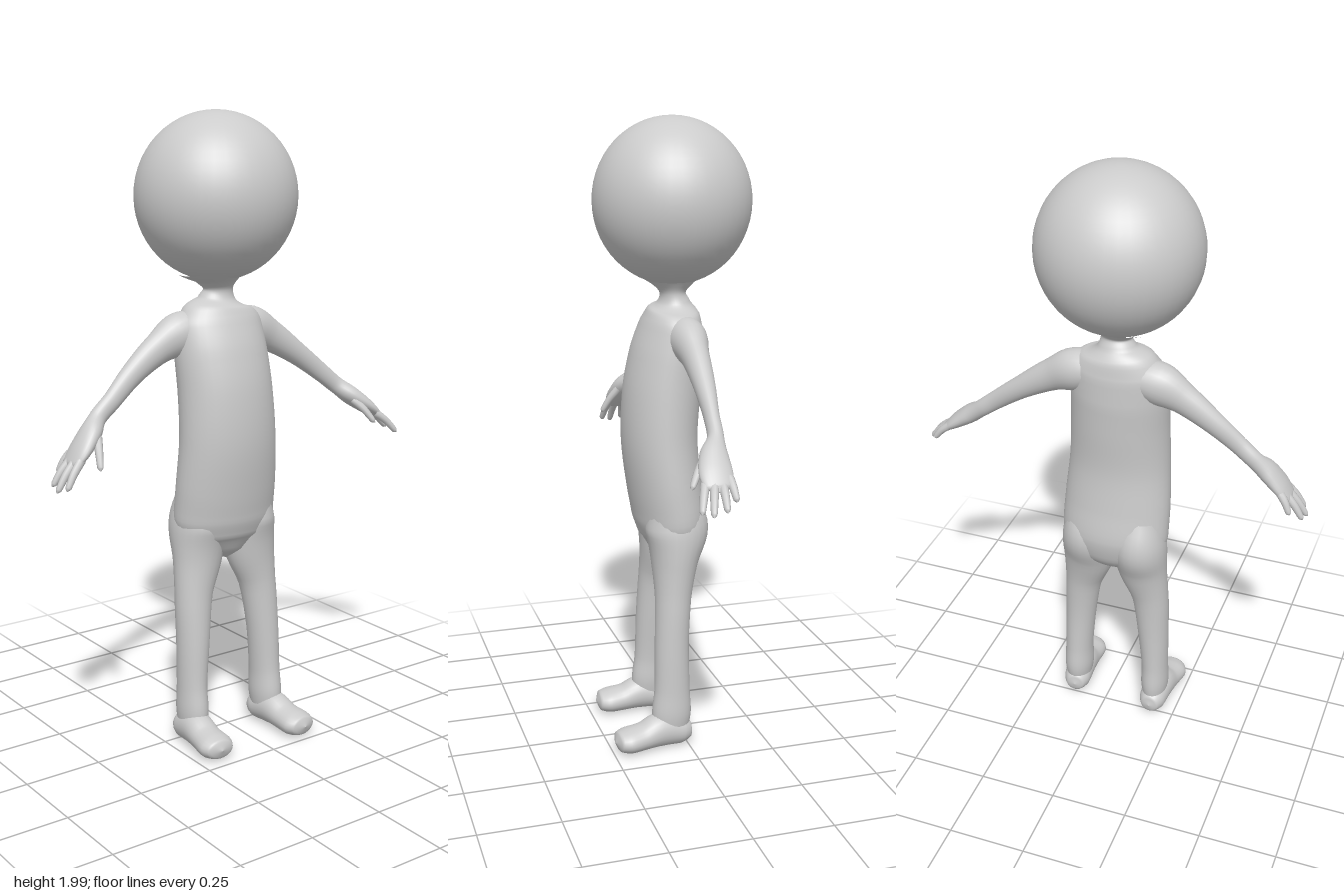
import * as THREE from 'three';

const material = new THREE.MeshStandardMaterial({ color: 0xcccccc });
const V = (x, y, z) => new THREE.Vector3(x, y, z);

// Smooth skin over elliptical sections [x, y, z, ra, rb]; rb lies along ref, ra across it.
function loft(name, sections, { ref = V(0, 0, 1), sides = 24, steps = 5 } = {}) {
  const path = new THREE.CatmullRomCurve3(sections.map(s => V(s[0], s[1], s[2])));
  const radii = new THREE.CatmullRomCurve3(sections.map(s => V(s[3], s[4], 0)));
  const rows = (sections.length - 1) * steps;
  const pos = [], index = [];
  for (let i = 0; i <= rows; i++) {
    const p = path.getPoint(i / rows), r = radii.getPoint(i / rows), t = path.getTangent(i / rows);
    const b = ref.clone().addScaledVector(t, -ref.dot(t)).normalize();
    const a = b.clone().cross(t);
    for (let j = 0; j < sides; j++) {
      const u = j / sides * Math.PI * 2;
      const q = p.clone()
        .addScaledVector(a, Math.cos(u) * Math.max(r.x, 0.001))
        .addScaledVector(b, Math.sin(u) * Math.max(r.y, 0.001));
      pos.push(q.x, q.y, q.z);
      if (i < rows) {
        const k = i * sides + j, n = i * sides + (j + 1) % sides;
        index.push(k, n, k + sides, n, n + sides, k + sides);
      }
    }
  }
  const g = new THREE.BufferGeometry();
  g.setAttribute('position', new THREE.Float32BufferAttribute(pos, 3));
  g.setIndex(index);
  g.computeVertexNormals();
  const mesh = new THREE.Mesh(g, material);
  mesh.name = name;
  return mesh;
}

// Tapered finger from base to tip with a slight knuckle bend
function finger(name, base, tip) {
  const at = (k, lift, r) => [...base.map((v, i) => v + (tip[i] - v) * k + (i === 1 ? lift : 0)), r, r];
  return loft(name, [at(0, 0, 0.014), at(0.5, 0.006, 0.012), at(0.9, 0, 0.009), at(1, 0, 0.001)],
    { sides: 10, steps: 3 });
}

function arm(side, sections, bases, tips) {
  const g = new THREE.Group();
  g.name = side + 'Arm';
  g.add(loft(side + 'ArmAndPalm', sections));
  ['thumb', 'indexFinger', 'middleFinger', 'ringFinger'].forEach((n, i) =>
    g.add(finger(side + n[0].toUpperCase() + n.slice(1), bases[i], tips[i])));
  return g;
}

// Leg sections are [y, xMin, xMax, zBack, zFront]; the foot runs from heel to toe
function leg(side, rows, heelX, toeX, dz) {
  const g = new THREE.Group();
  g.name = side + 'Leg';
  g.add(loft(side + 'Limb', rows.map(([y, x0, x1, z0, z1]) =>
    [(x0 + x1) / 2, y, (z0 + z1) / 2 + dz, (x1 - x0) / 2, (z1 - z0) / 2])));
  const foot = [
    [-0.016, 0.05, 0.001, 0.001], [-0.008, 0.05, 0.03, 0.03], [0.02, 0.053, 0.045, 0.046],
    [0.09, 0.064, 0.05, 0.055], [0.15, 0.051, 0.052, 0.043], [0.2, 0.046, 0.058, 0.039],
    [0.232, 0.046, 0.045, 0.03], [0.245, 0.046, 0.001, 0.001],
  ];
  g.add(loft(side + 'Foot', foot.map(([z, y, rx, ry]) =>
    [heelX + (toeX - heelX) * z / 0.24, y, z + dz, rx, ry]), { ref: V(0, 1, 0) }));
  return g;
}

export function createModel() {
  const model = new THREE.Group();
  model.name = 'figure';

  // Head
  const head = new THREE.Mesh(new THREE.SphereGeometry(1, 40, 28), material);
  head.name = 'head';
  head.scale.set(0.253, 0.257, 0.247);
  head.position.set(-0.045, 1.743, 0);
  model.add(head);

  // Torso from the crotch to the flared neck
  model.add(loft('torso', [
    [-0.032, 0.6, 0.035, 0.001, 0.001],
    [-0.032, 0.625, 0.03, 0.07, 0.05],
    [-0.031, 0.68, 0.02, 0.155, 0.095],
    [-0.03, 0.75, 0.019, 0.178, 0.113],
    [-0.032, 0.85, 0.033, 0.176, 0.115],
    [-0.035, 1.0, 0.047, 0.166, 0.118],
    [-0.038, 1.15, 0.038, 0.16, 0.12],
    [-0.042, 1.27, 0.02, 0.158, 0.112],
    [-0.042, 1.36, 0.003, 0.15, 0.094],
    [-0.042, 1.405, -0.003, 0.115, 0.078],
    [-0.04, 1.43, -0.003, 0.064, 0.053],
    [-0.038, 1.46, 0, 0.049, 0.04],
    [-0.04, 1.49, 0, 0.07, 0.066],
    [-0.045, 1.525, 0, 0.125, 0.12],
  ], { sides: 36 }));

  // Arms
  model.add(arm('left', [
    [0, 1.345, -0.005, 0.05, 0.06], [0.09, 1.33, -0.01, 0.068, 0.06],
    [0.17, 1.295, -0.008, 0.052, 0.043], [0.28, 1.225, -0.002, 0.037, 0.032],
    [0.38, 1.15, 0.008, 0.03, 0.023], [0.43, 1.11, 0.014, 0.028, 0.024],
    [0.48, 1.07, 0.035, 0.03, 0.042], [0.53, 1.033, 0.046, 0.024, 0.05],
    [0.57, 1.002, 0.05, 0.014, 0.043], [0.585, 0.99, 0.05, 0.001, 0.001],
  ], [[0.47, 1.06, 0.06], [0.55, 1.01, 0.083], [0.56, 1.01, 0.06], [0.56, 1.01, 0.036]],
  [[0.522, 0.985, 0.115], [0.62, 0.94, 0.115], [0.643, 0.937, 0.088], [0.635, 0.945, 0.045]]));
  model.getObjectByName('leftArm').add(
    finger('leftLittleFinger', [0.55, 1.02, 0.013], [0.607, 0.965, 0.008]));

  model.add(arm('right', [
    [-0.09, 1.345, -0.005, 0.05, 0.06], [-0.175, 1.33, -0.01, 0.068, 0.06],
    [-0.255, 1.292, -0.01, 0.05, 0.041], [-0.35, 1.225, -0.005, 0.037, 0.03],
    [-0.43, 1.155, 0.007, 0.03, 0.023], [-0.48, 1.112, 0.01, 0.028, 0.024],
    [-0.52, 1.07, 0.028, 0.03, 0.042], [-0.56, 1.025, 0.036, 0.024, 0.05],
    [-0.59, 0.99, 0.036, 0.014, 0.043], [-0.6, 0.978, 0.036, 0.001, 0.001],
  ], [[-0.51, 1.06, 0.055], [-0.575, 1.005, 0.07], [-0.583, 1.0, 0.048], [-0.583, 1.0, 0.022]],
  [[-0.535, 0.975, 0.112], [-0.635, 0.925, 0.088], [-0.65, 0.915, 0.055], [-0.643, 0.925, 0.015]]));
  model.getObjectByName('rightArm').add(
    finger('rightLittleFinger', [-0.57, 1.015, 0], [-0.607, 0.955, -0.018]));

  // Legs
  model.add(leg('left', [
    [0.82, 0, 0.125, -0.05, 0.11], [0.72, -0.03, 0.147, -0.085, 0.118],
    [0.62, -0.02, 0.152, -0.05, 0.102], [0.5, 0.028, 0.152, -0.02, 0.096],
    [0.35, 0.053, 0.157, -0.008, 0.102], [0.2, 0.066, 0.16, -0.009, 0.106],
    [0.12, 0.066, 0.163, -0.013, 0.115], [0.05, 0.075, 0.155, 0, 0.11],
  ], 0.112, 0.135, 0));
  model.add(leg('right', [
    [0.82, -0.19, -0.06, -0.05, 0.11], [0.72, -0.208, -0.035, -0.085, 0.118],
    [0.62, -0.21, -0.045, -0.05, 0.102], [0.5, -0.214, -0.09, -0.02, 0.098],
    [0.35, -0.215, -0.11, -0.008, 0.106], [0.2, -0.215, -0.125, -0.004, 0.11],
    [0.12, -0.217, -0.125, -0.008, 0.12], [0.05, -0.21, -0.135, 0, 0.115],
  ], -0.172, -0.185, -0.015));

  return model;
}
